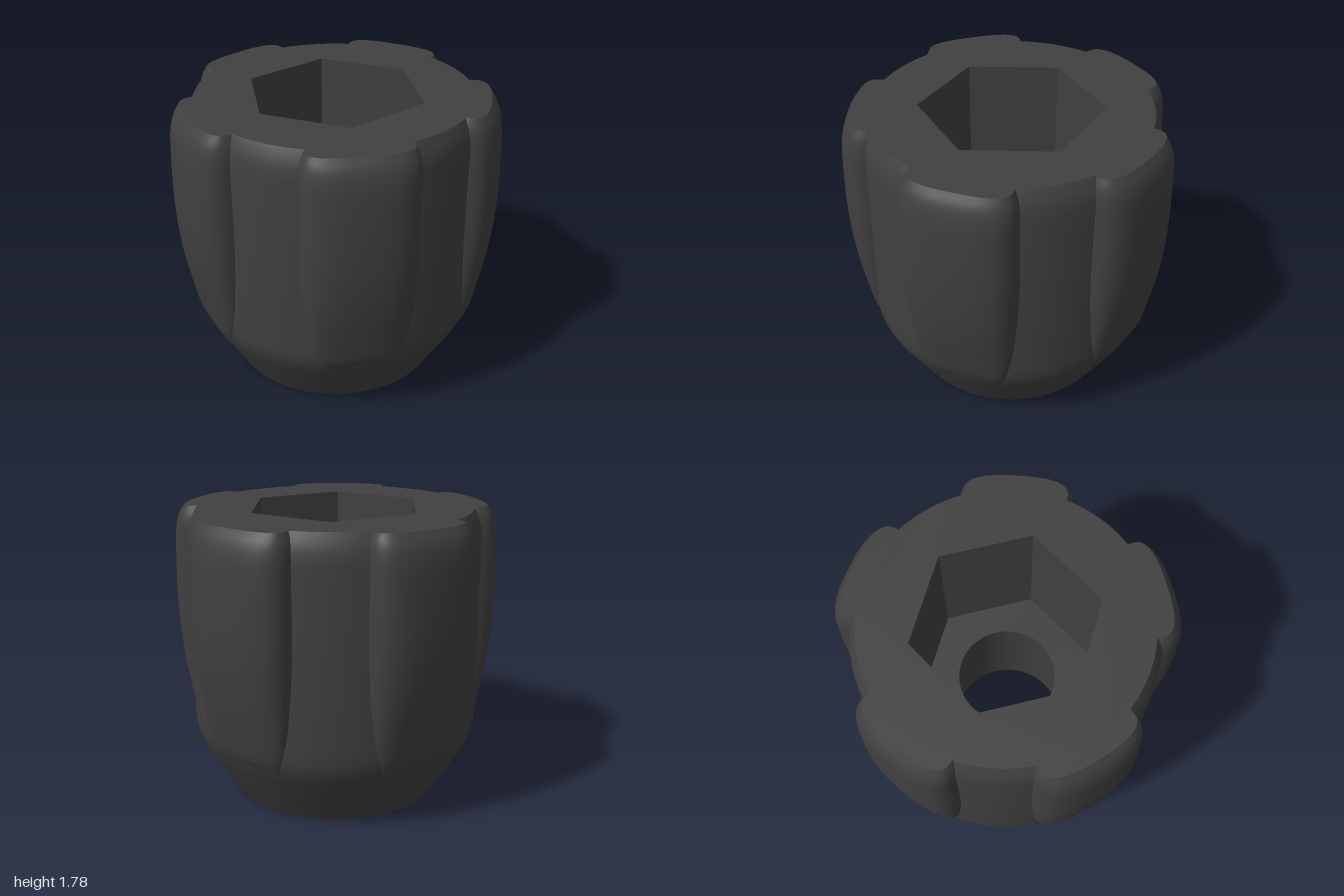
import * as THREE from 'three';
import { toCreasedNormals } from 'three/addons/utils/BufferGeometryUtils.js';

const HEIGHT = 1.78, FLOOR = 0.9, HEX = 0.555, BORE = 0.305, LOBES = 5;

// Horizontal plate with an opening, facing up at height y
function plate(outer, hole, y) {
  const shape = new THREE.Shape(outer);
  shape.holes.push(new THREE.Path(hole));
  return new THREE.ShapeGeometry(shape).rotateX(-Math.PI / 2).translate(0, y, 0);
}

function ring(radius, sides) {
  return Array.from({ length: sides }, (_, i) => {
    const a = Math.PI / 2 + (i / sides) * Math.PI * 2;
    return new THREE.Vector2(radius * Math.cos(a), radius * Math.sin(a));
  });
}

// Grip lobe: rounded-box sections that swell and shrink with height
function lobeGeometry() {
  // outer radius, height, half width
  const spine = new THREE.CatmullRomCurve3([
    [0.86, 0.36, 0.24], [0.895, 0.43, 0.27], [0.935, 0.6, 0.305], [0.975, 0.8, 0.325],
    [1.0, 1.0, 0.337], [1.01, 1.2, 0.342], [1.006, 1.5, 0.34], [0.994, 1.64, 0.338],
    [0.97, 1.72, 0.325], [0.93, HEIGHT, 0.3],
  ].map((p) => new THREE.Vector3(...p)), false, 'centripetal');
  const rows = 44, sides = 56, centre = 0.82, power = 2 / 2.6;
  const bend = (v) => Math.sign(v) * Math.pow(Math.abs(v), power);
  const pos = [], index = [];
  for (let j = 0; j <= rows; j++) {
    const p = spine.getPoint(j / rows);
    for (let i = 0; i < sides; i++) {
      const a = (i / sides) * Math.PI * 2;
      pos.push(p.z * bend(Math.sin(a)), p.y, centre + (p.x - centre) * bend(Math.cos(a)));
    }
  }
  for (let j = 0; j < rows; j++) {
    for (let i = 0; i < sides; i++) {
      const a = j * sides + i, b = j * sides + ((i + 1) % sides);
      index.push(a, b, b + sides, a, b + sides, a + sides);
    }
  }
  // Flat top
  const top = rows * sides, mid = pos.length / 3;
  pos.push(0, HEIGHT, centre);
  for (let i = 0; i < sides; i++) index.push(top + i, top + ((i + 1) % sides), mid);
  const g = new THREE.BufferGeometry();
  g.setAttribute('position', new THREE.Float32BufferAttribute(pos, 3));
  g.setIndex(index);
  return toCreasedNormals(g, 0.6);
}

export function createModel() {
  const model = new THREE.Group();
  model.name = 'knob';
  const plastic = new THREE.MeshStandardMaterial({ color: 0x404040 });
  plastic.name = 'dark grey plastic';
  const add = (name, geometry) => {
    const mesh = new THREE.Mesh(geometry, plastic);
    mesh.name = name;
    mesh.position.z = -0.05;
    model.add(mesh);
    return mesh;
  };

  // Turned body: tapered bore, base, cone, barrel and rounded rim
  const profile = [
    [BORE, FLOOR], [0.373, 0], [0.655, 0], [0.835, 0.3], [0.86, 0.35], [0.88, 0.4],
    [0.89, 0.45], [0.893, 0.52], [0.893, 1.6], [0.886, 1.67], [0.868, 1.73], [0.84, HEIGHT],
  ].map(([x, y]) => new THREE.Vector2(x, y));
  add('body', toCreasedNormals(new THREE.LatheGeometry(profile, 96), 0.6));

  // Top face and hexagonal socket
  add('topFace', plate(ring(0.84, 96), ring(HEX, 6), HEIGHT));
  const walls = new THREE.CylinderGeometry(HEX, HEX, HEIGHT - FLOOR, 6, 1, true)
    .translate(0, (HEIGHT + FLOOR) / 2, 0)
    .scale(-1, 1, 1); // turned inside out
  add('socketWalls', toCreasedNormals(walls, 0.3));
  add('socketFloor', plate(ring(HEX, 6), ring(BORE, 96), FLOOR));

  // Grip lobes around the barrel
  const lobe = lobeGeometry();
  for (let i = 0; i < LOBES; i++) {
    add('gripLobe' + (i + 1), lobe).rotation.y = (i / LOBES) * Math.PI * 2;
  }
  return model;
}
